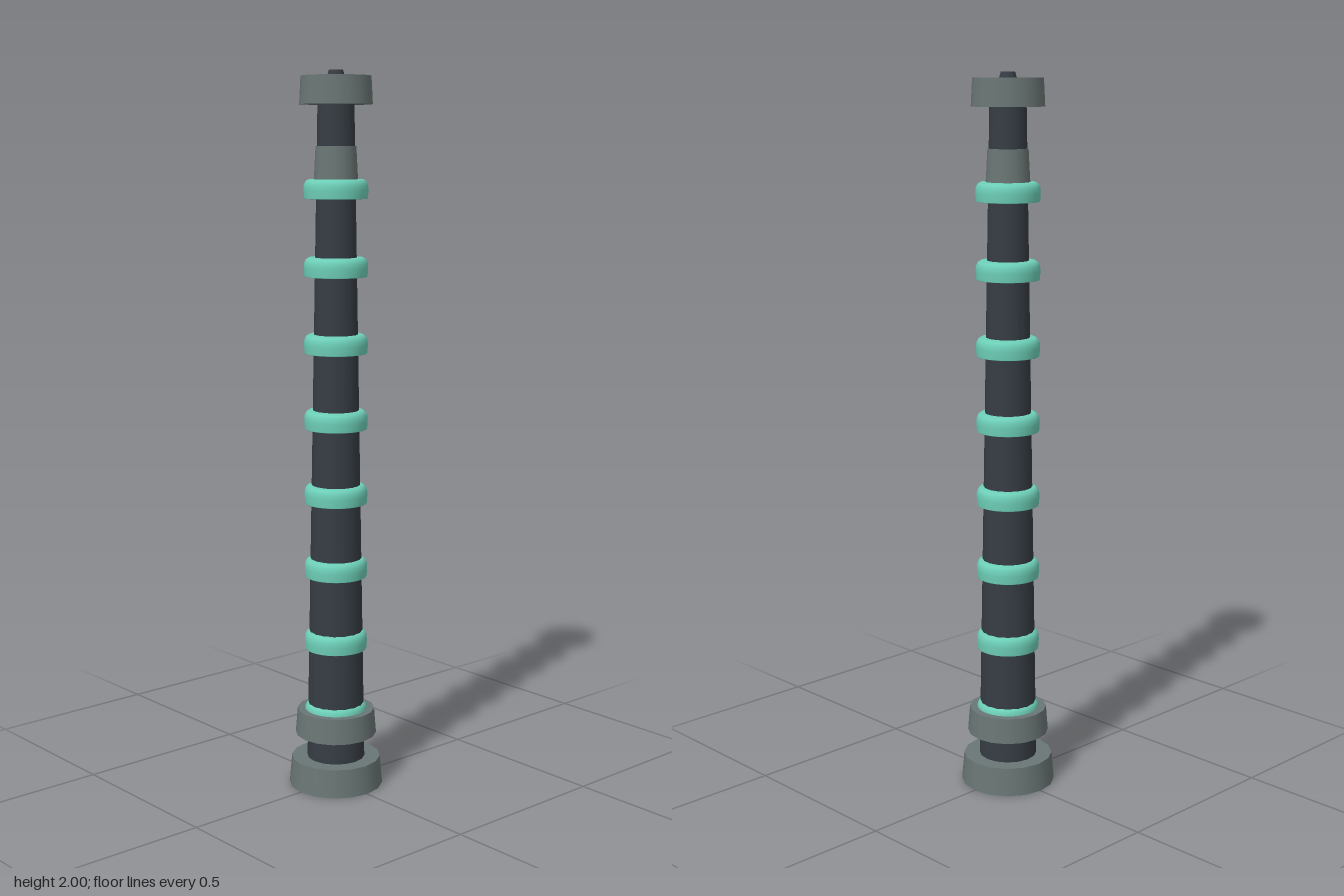
import * as THREE from 'three';

const SIDES = 16;

export function createModel() {
  const model = new THREE.Group();
  model.name = 'ringedBaton';

  const dark = new THREE.MeshStandardMaterial({ color: 0x363d44 });
  dark.name = 'charcoal';
  const grey = new THREE.MeshStandardMaterial({ color: 0x6a7775 });
  grey.name = 'slate grey';
  const green = new THREE.MeshStandardMaterial({ color: 0x6dcfb8 });
  green.name = 'mint green';

  // Tapered drum spanning two heights
  function drum(name, rBottom, rTop, y0, y1, material) {
    const geo = new THREE.CylinderGeometry(rTop, rBottom, y1 - y0, SIDES);
    geo.translate(0, (y0 + y1) / 2, 0);
    const mesh = new THREE.Mesh(geo, material);
    mesh.name = name;
    model.add(mesh);
  }

  drum('shaft', 0.083, 0.049, 0.002, 1.95, dark);
  drum('base', 0.133, 0.126, 0, 0.08, grey);
  drum('lowerCollar', 0.115, 0.109, 0.15, 0.222, grey);
  drum('upperSleeve', 0.061, 0.055, 1.69, 1.8, grey);
  drum('cap', 0.099, 0.095, 1.91, 1.985, grey);
  drum('tip', 0.025, 0.019, 1.98, 2, dark);

  // Rings with a flat underside and a rounded upper shoulder
  const ringProfile = [
    [0.045, -0.028], [0.086, -0.028], [0.0865, -0.027], [0.088, -0.005],
    [0.087, 0.009], [0.082, 0.019], [0.074, 0.024], [0.045, 0.024],
  ].map(([r, y]) => new THREE.Vector2(r, y));
  const ringGeo = new THREE.LatheGeometry(ringProfile, 32);
  for (let i = 0; i < 8; i++) {
    const ring = new THREE.Mesh(ringGeo, green);
    ring.name = `ring${i + 1}`;
    ring.position.y = 0.218 + i * 0.21;
    model.add(ring);
  }

  return model;
}
